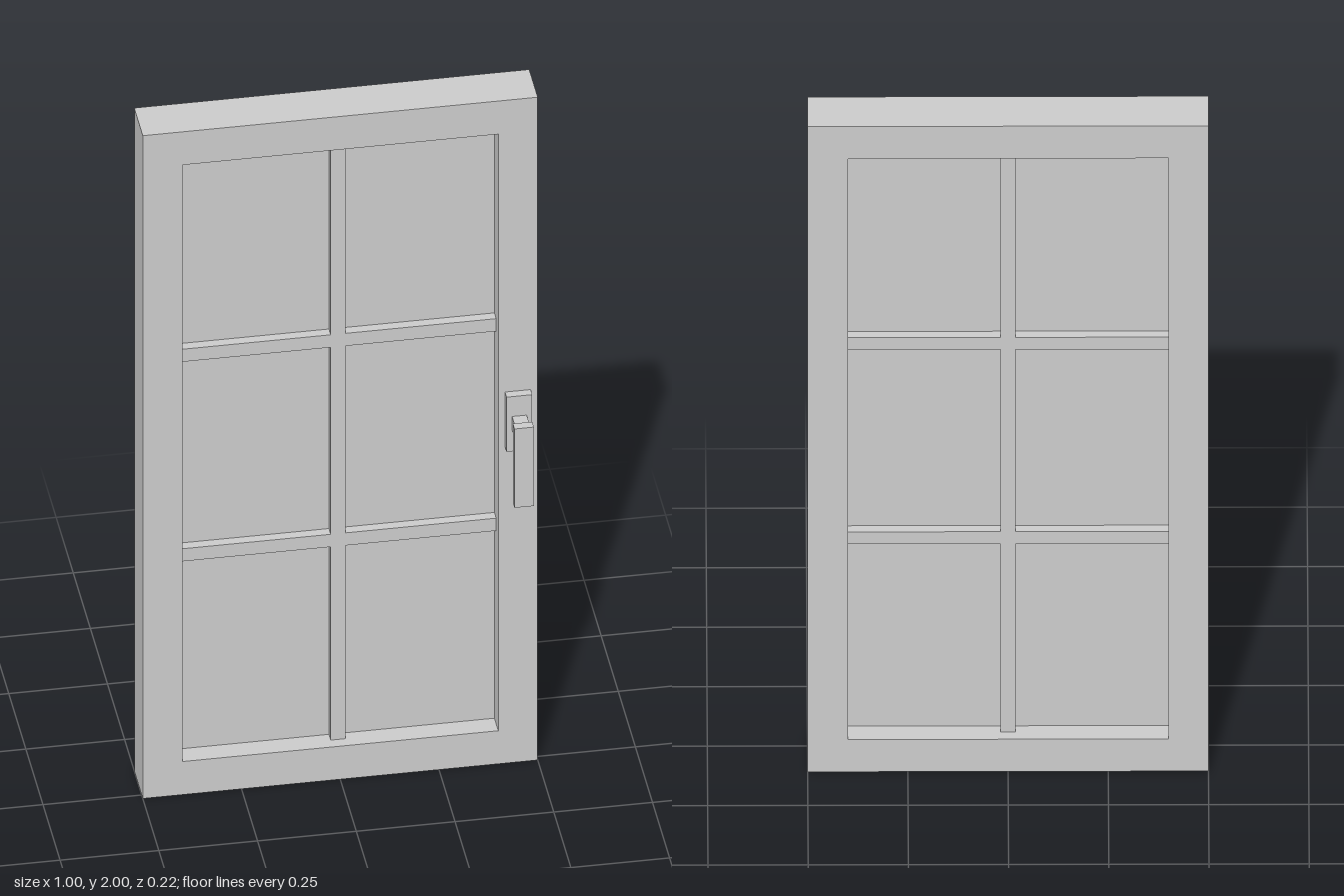
import * as THREE from 'three';

const material = new THREE.MeshStandardMaterial({ color: 0xcccccc });

// Box given by its lower and upper corners
function box(name, [x0, y0, z0], [x1, y1, z1]) {
  const mesh = new THREE.Mesh(new THREE.BoxGeometry(x1 - x0, y1 - y0, z1 - z0), material);
  mesh.name = name;
  mesh.position.set((x0 + x1) / 2, (y0 + y1) / 2, (z0 + z1) / 2);
  return mesh;
}

// Rectangle outline for a shape or a hole
function rect(path, x0, y0, x1, y1) {
  path.moveTo(x0, y0);
  path.lineTo(x1, y0);
  path.lineTo(x1, y1);
  path.lineTo(x0, y1);
  path.closePath();
  return path;
}

export function createModel() {
  const model = new THREE.Group();
  model.name = 'windowDoor';

  const back = -0.109, front = 0.016, mid = (back + front) / 2;
  const barHalf = 0.019, barDepth = 0.032;

  // Outer frame with one large opening
  const outline = rect(new THREE.Shape(), -0.5, 0, 0.5, 2);
  outline.holes.push(rect(new THREE.Path(), -0.4, 0.1, 0.4, 1.9));
  const frame = new THREE.Mesh(
    new THREE.ExtrudeGeometry(outline, { depth: front - back, bevelEnabled: false }), material);
  frame.name = 'frame';
  frame.position.z = back;
  model.add(frame);

  // Thin glass sheet in the middle of the frame
  model.add(box('glass', [-0.4, 0.1, mid - 0.006], [0.4, 1.9, mid + 0.006]));

  // Glazing bars: one upright, two rows of crossbars flush with it
  const bars = new THREE.Group();
  bars.name = 'glazingBars';
  bars.add(box('uprightBar', [-barHalf, 0.1, mid - barDepth], [barHalf, 1.9, mid + barDepth]));
  for (const y of [0.702, 1.304]) {
    for (const [x0, x1] of [[-0.4, -barHalf], [barHalf, 0.4]]) {
      bars.add(box('crossBar', [x0, y - barHalf, mid - barDepth], [x1, y + barHalf, mid + barDepth]));
    }
  }
  model.add(bars);

  // Handle: plate, neck and hanging lever
  const handle = new THREE.Group();
  handle.name = 'handle';
  handle.add(
    box('handlePlate', [0.417, 0.955, front], [0.482, 1.12, 0.039]),
    box('handleNeck', [0.431, 1.02, 0.039], [0.468, 1.06, 0.085]),
    box('handleLever', [0.425, 0.832, 0.085], [0.474, 1.07, 0.109]),
  );
  model.add(handle);

  return model;
}
